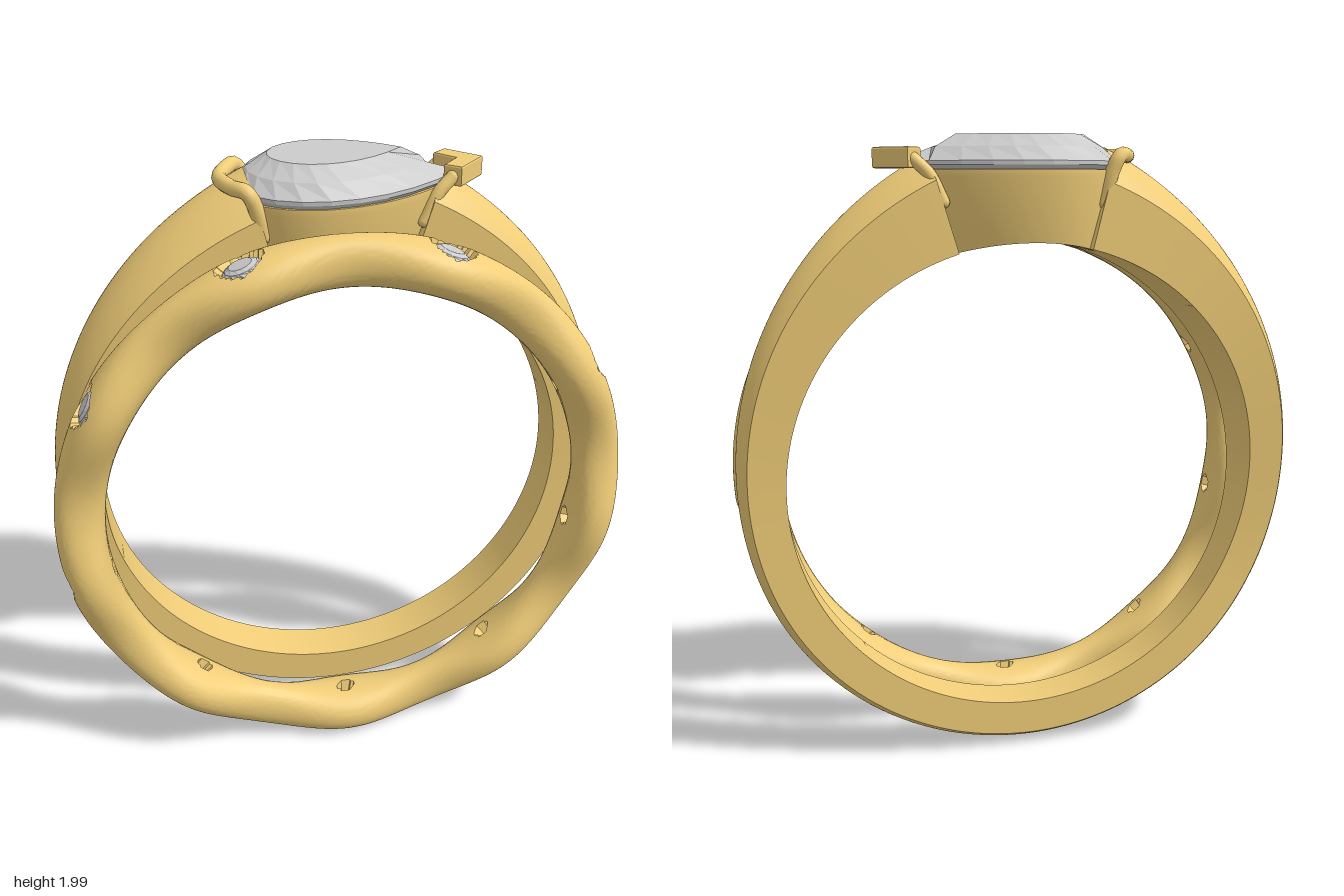
import * as THREE from 'three';
import { toCreasedNormals } from 'three/addons/utils/BufferGeometryUtils.js';

const gold = new THREE.MeshStandardMaterial({ color: 0xf0cd78 });
const stone = new THREE.MeshStandardMaterial({ color: 0xcccccc, flatShading: true });
const V = (x, y, z) => new THREE.Vector3(x, y, z);
const RAD = Math.PI / 180;
const CY = 0.92, HEAD_X = -0.04, HEAD_Z = -0.07, INNER = 0.76;
const { smoothstep, lerp } = THREE.MathUtils;

// Skin a list of closed rings; the winding is turned outward by signed volume.
function loft(rings, wrap = false) {
  const n = rings[0].length, m = rings.length, pts = rings.flat(), idx = [];
  for (let i = 0; i < (wrap ? m : m - 1); i++) {
    for (let j = 0; j < n; j++) {
      const k = (j + 1) % n, p = i * n, q = ((i + 1) % m) * n;
      idx.push(p + j, p + k, q + k, p + j, q + k, q + j);
    }
  }
  let volume = 0;
  const c = V(0, 0, 0);
  for (let i = 0; i < idx.length; i += 3) {
    volume += pts[idx[i]].dot(c.crossVectors(pts[idx[i + 1]], pts[idx[i + 2]]));
  }
  if (volume < 0) idx.reverse();
  const g = new THREE.BufferGeometry().setFromPoints(pts);
  g.setIndex(idx);
  g.computeVertexNormals();
  return g;
}

const flatten = ring => {
  const c = ring.reduce((s, p) => s.add(p), V(0, 0, 0)).divideScalar(ring.length);
  return ring.map(() => c.clone());
};

function add(parent, name, geometry, material = gold) {
  const mesh = new THREE.Mesh(geometry, material);
  mesh.name = name;
  parent.add(mesh);
  return mesh;
}

// Point on a ring: angle from the bottom, positive toward +x.
const polar = (a, r, z) => V(Math.sin(a) * r, CY - Math.cos(a) * r, z);

// Pear outline, u in 0..1 starting at the tip.
function pear(u, scale, y) {
  u = ((u % 1) + 1) % 1;
  const v = u > 0.5 ? 1 - u : u, side = u > 0.5 ? -1 : 1;
  let x, z;
  if (v < 0.25) {
    const s = 1 - v / 0.25;
    x = 0.43 * s;
    z = 0.215 * (1 - s * s);
  } else {
    const t = (v - 0.25) / 0.25 * Math.PI / 2;
    x = -0.26 * Math.sin(t);
    z = 0.215 * Math.cos(t);
  }
  return V(HEAD_X + x * scale, y, HEAD_Z + side * z * scale);
}

const pearRing = (n, scale, y, shift = 0) =>
  Array.from({ length: n }, (_, i) => pear((i + shift) / n, scale, y));

// Wavy band: swells at nine stones, with a seat outside and a drilled hole inside.
function wavyBand() {
  const rings = [], NA = 450, NS = 56;
  for (let i = 0; i < NA; i++) {
    const a = i / NA * 2 * Math.PI, ring = [];
    const w = 0.0815 + 0.0235 * Math.cos(9 * a);
    const near = a - Math.round(a / (40 * RAD)) * 40 * RAD;
    for (let j = 0; j < NS; j++) {
      const t = j / NS * 2 * Math.PI, c = Math.cos(t), s = Math.sin(t);
      const z = w * Math.sign(s) * Math.abs(s) ** 0.92;
      let r = 0.8375 + 0.0775 * Math.sign(c) * Math.abs(c) ** 0.92;
      const dist = Math.hypot(near * r, z);
      if (c > 0 && dist < 0.068) r = Math.min(r, 0.877);
      if (c < 0 && dist < 0.024) r = 0.82;
      ring.push(polar(a, r, 0.18 + z));
    }
    rings.push(ring);
  }
  return toCreasedNormals(loft(rings, true), 0.6);
}

// Small round brilliant, axis along y, girdle at y = 0.
function roundGem() {
  const ring = (r, y, shift = 0) => Array.from({ length: 12 }, (_, i) => {
    const t = (i + shift) / 12 * 2 * Math.PI;
    return V(Math.cos(t) * r, y, Math.sin(t) * r);
  });
  return loft([ring(0, -0.05), ring(0.064, -0.004), ring(0.064, 0.002),
    ring(0.051, 0.012, 0.5), ring(0.036, 0.019, 1), ring(0, 0.019, 1)]);
}

// Tapered shank, open at the head: broad left (-x) shoulder, slim right one.
function shank() {
  const rings = [], N = 160;
  for (let i = 0; i <= N; i++) {
    const deg = lerp(-166, 163, i / N), b = Math.abs(deg), a = deg * RAD;
    const t = Math.max(0, (b - 75) / 86) ** 2;
    const R = 0.902 + 0.155 * t;
    const broad = deg < 0;
    const w = 0.072 + (broad ? 0.083 * smoothstep(b, 60, 150) : 0.041 * smoothstep(b, 80, 170));
    const d = 0.03 + (broad ? 0.07 : 0.045) * t;
    const ring = [polar(a, INNER, HEAD_Z - w), polar(a, INNER, HEAD_Z + w)];
    for (let j = 0; j <= 16; j++) {
      const s = 1 - j / 8;
      ring.push(polar(a, R - d * s * s, HEAD_Z + w * s));
    }
    rings.push(ring);
  }
  return toCreasedNormals(loft([flatten(rings[0]), ...rings, flatten(rings[N])]), 0.5);
}

// Hollow pear-shaped setting whose underside follows the finger hole.
function setting() {
  const under = scale => pearRing(72, scale, 0).map(p => {
    p.y = CY + Math.sqrt(INNER * INNER - p.x * p.x);
    return p;
  });
  const rings = [under(0.78), pearRing(72, 0.98, 1.875), pearRing(72, 0.98, 1.895),
    pearRing(72, 0.9, 1.895), pearRing(72, 0.8, 1.82), under(0.58)];
  return toCreasedNormals(loft(rings, true), 0.5);
}

// Faceted pear stone: pavilion, girdle, staggered crown facets and table.
function pearGem() {
  const n = 20;
  const rings = [
    pearRing(n, 0, 1.69), pearRing(n, 0.5, 1.79, 0.5), pearRing(n, 0.97, 1.9),
    pearRing(n, 1, 1.908), pearRing(n, 1, 1.92), pearRing(n, 0.82, 1.962, 0.5),
    pearRing(n, 0.58, 2, 1), pearRing(n, 0, 2, 1)];
  return loft(rings);
}

function rod(points, r) {
  const g = new THREE.Group();
  const curve = new THREE.CatmullRomCurve3(points);
  add(g, 'prongBar', new THREE.TubeGeometry(curve, 48, r, 12));
  for (const p of [points[0], points[points.length - 1]]) {
    add(g, 'prongEnd', new THREE.SphereGeometry(r, 12, 8)).position.copy(p);
  }
  return g;
}

export function createModel() {
  const model = new THREE.Group();
  model.name = 'ringSet';

  // Stone band
  const band = new THREE.Group();
  band.name = 'stoneBand';
  add(band, 'wavyBand', wavyBand());
  const gem = roundGem();
  for (let i = 0; i < 9; i++) {
    const a = i * 40 * RAD;
    const mesh = add(band, 'bandStone', gem, stone);
    mesh.position.copy(polar(a, 0.885, 0.18));
    mesh.rotation.z = a + Math.PI;
  }

  // Main ring
  const ring = new THREE.Group();
  ring.name = 'mainRing';
  add(ring, 'shank', shank());
  add(ring, 'setting', setting());
  add(ring, 'pearStone', pearGem(), stone);

  // Curved prong around the round end, with legs down the shoulder
  const half = [[-0.225, 1.8, 0.125], [-0.245, 1.89, 0.14], [-0.268, 1.935, 0.14],
    [-0.305, 1.937, 0.09]];
  const path = [...half.map(([x, y, z]) => V(x, y, HEAD_Z + z)), V(-0.33, 1.937, HEAD_Z),
    ...half.reverse().map(([x, y, z]) => V(x, y, HEAD_Z - z))];
  const curved = rod(path, 0.023);
  curved.name = 'curvedProng';
  ring.add(curved);

  // Chevron prong over the tip
  const chevron = new THREE.Shape([[0.455, 0], [0.37, 0.09], [0.335, 0.06], [0.388, 0],
    [0.335, -0.06], [0.37, -0.09]].map(([x, z]) => new THREE.Vector2(x, z)));
  const tip = new THREE.ExtrudeGeometry(chevron, {
    depth: 0.05, bevelThickness: 0.006, bevelSize: 0.006, bevelSegments: 2 });
  tip.rotateX(Math.PI / 2).translate(0, 1.954, HEAD_Z);
  add(ring, 'chevronProng', tip);
  for (const s of [1, -1]) {
    const leg = rod([V(0.265, 1.8, HEAD_Z + s * 0.09), V(0.305, 1.88, HEAD_Z + s * 0.085),
      V(0.35, 1.925, HEAD_Z + s * 0.075)], 0.02);
    leg.name = 'chevronLeg';
    ring.add(leg);
  }

  model.add(band, ring);
  return model;
}
